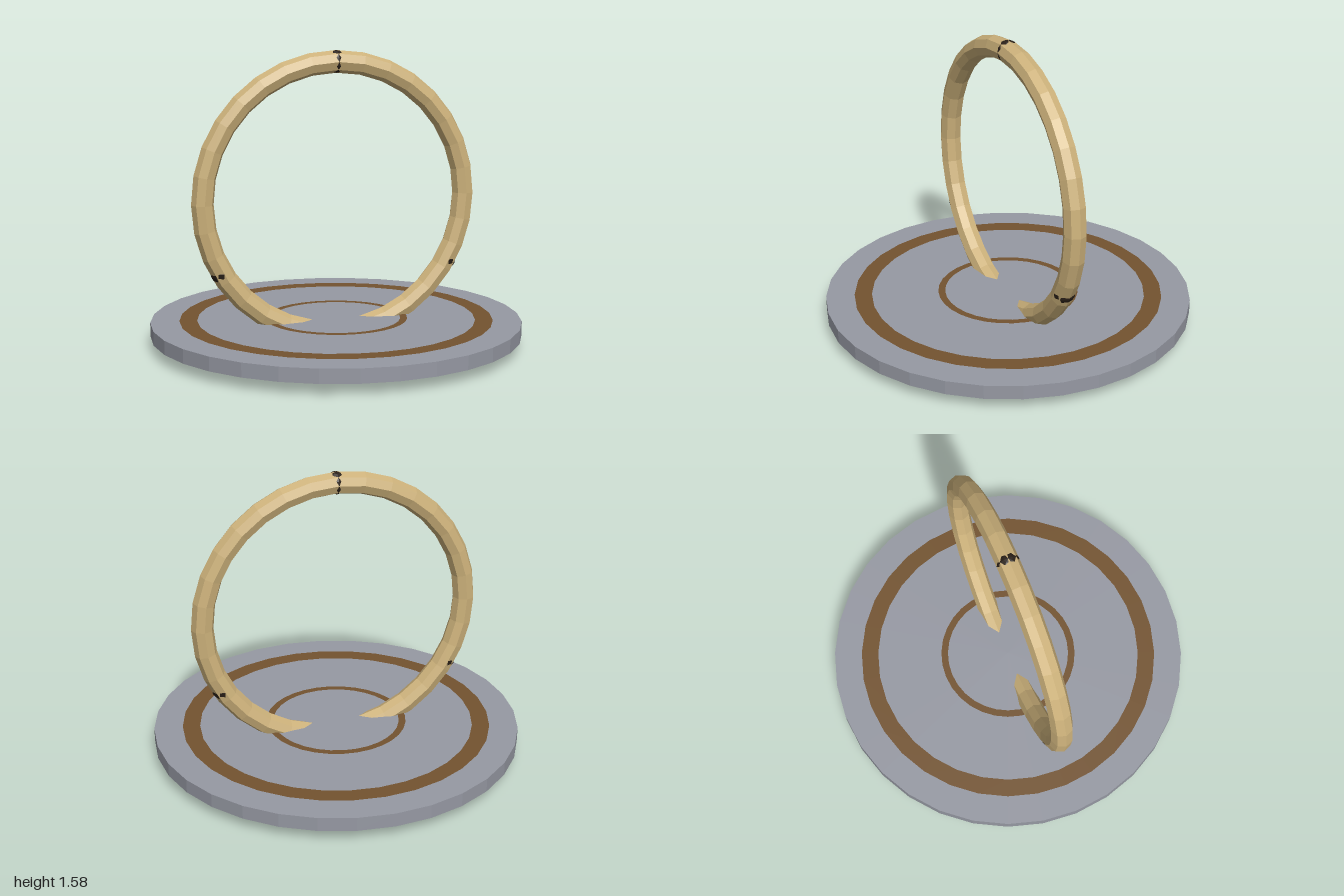
import * as THREE from 'three';

const mat = (name, color, extra = {}) => {
  const m = new THREE.MeshStandardMaterial({ color, flatShading: true, ...extra });
  m.name = name;
  return m;
};

export function createModel() {
  const group = new THREE.Group();
  group.name = 'ringPortal';
  const stone = mat('stoneGrey', 0x9699a3);
  const bronze = mat('bronzeBrown', 0x73532f, { side: THREE.DoubleSide });
  const gold = mat('paleGold', 0xcdb27b);
  const dark = mat('darkStud', 0x2a2018);

  const add = (name, geometry, material, x = 0, y = 0, z = 0) => {
    const mesh = new THREE.Mesh(geometry, material);
    mesh.name = name;
    mesh.position.set(x, y, z);
    group.add(mesh);
    return mesh;
  };

  // Round base, floating just above the lowest point of the hoop
  const baseBottom = 0.069, baseTop = 0.144;
  add('base', new THREE.CylinderGeometry(1, 1, baseTop - baseBottom, 32), stone, 0, (baseBottom + baseTop) / 2, 0);

  // Flat inlaid rings on top of the base
  for (const [name, inner, outer] of [['outerInlay', 0.75, 0.845], ['innerInlay', 0.347, 0.385]]) {
    const ring = new THREE.RingGeometry(inner, outer, 32).rotateX(-Math.PI / 2);
    add(name, ring, bronze, 0, baseTop + 0.004, 0);
  }

  // Upright hoop passing through the base
  const hoopY = 0.8, hoopRadius = 0.73, tube = 0.06;
  add('hoop', new THREE.TorusGeometry(hoopRadius, tube, 8, 32), gold, 0, hoopY, 0);

  // Three studs almost buried in the hoop
  for (let i = 0; i < 3; i++) {
    const a = Math.PI / 2 + (i * Math.PI * 2) / 3;
    add('stud' + (i + 1), new THREE.SphereGeometry(tube, 8, 8), dark,
      Math.cos(a) * hoopRadius, hoopY + Math.sin(a) * hoopRadius, 0);
  }
  return group;
}
